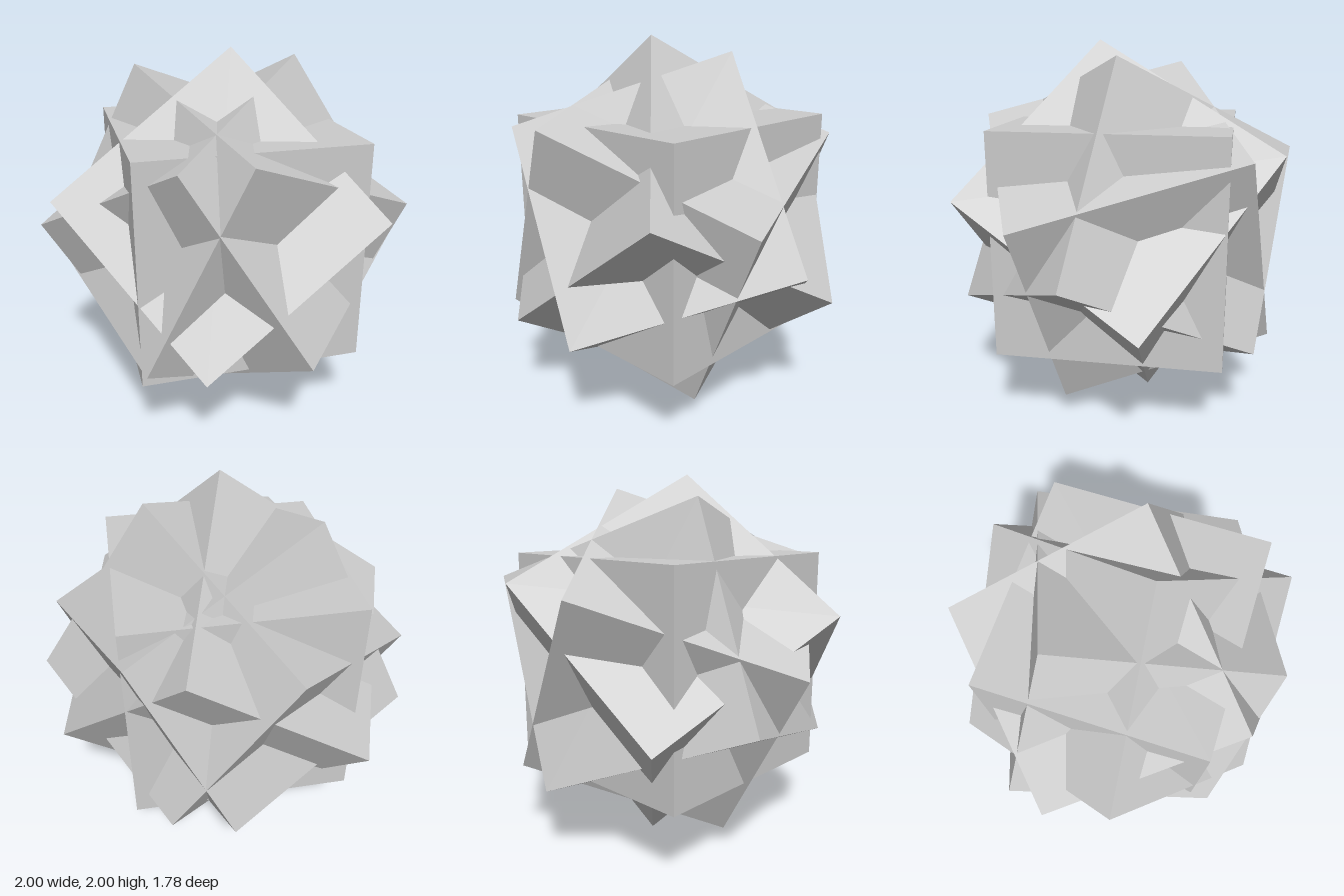
import * as THREE from 'three';

// Four equal cubes about one centre, each turned its own way
const SIDE = 1.164;
const CUBES = [
  { name: 'uprightCube', x: [1, 0, 0], y: [0, 1, 0] },
  { name: 'steepTiltedCube', x: [0.8, 0.595, -0.07], y: [-0.526, 0.655, -0.534] },
  { name: 'twistedCube', x: [0.69, 0.32, -0.655], y: [-0.526, 0.845, -0.13] },
  { name: 'leaningCube', x: [0.86, -0.353, -0.37], y: [0.42, 0.905, 0.11] },
];

// Square orientation from the directions of two edges
function orientation(xDir, yDir) {
  const x = new THREE.Vector3(...xDir).normalize();
  const z = x.clone().cross(new THREE.Vector3(...yDir)).normalize();
  const y = z.clone().cross(x);
  return new THREE.Matrix4().makeBasis(x, y, z);
}

export function createModel() {
  const model = new THREE.Group();
  model.name = 'cubeCompound';
  const material = new THREE.MeshStandardMaterial({ color: 0xcccccc, flatShading: true });
  const geometry = new THREE.BoxGeometry(SIDE, SIDE, SIDE);

  for (const { name, x, y } of CUBES) {
    const cube = new THREE.Mesh(geometry, material);
    cube.name = name;
    cube.quaternion.setFromRotationMatrix(orientation(x, y));
    cube.position.y = 1;
    model.add(cube);
  }
  return model;
}
